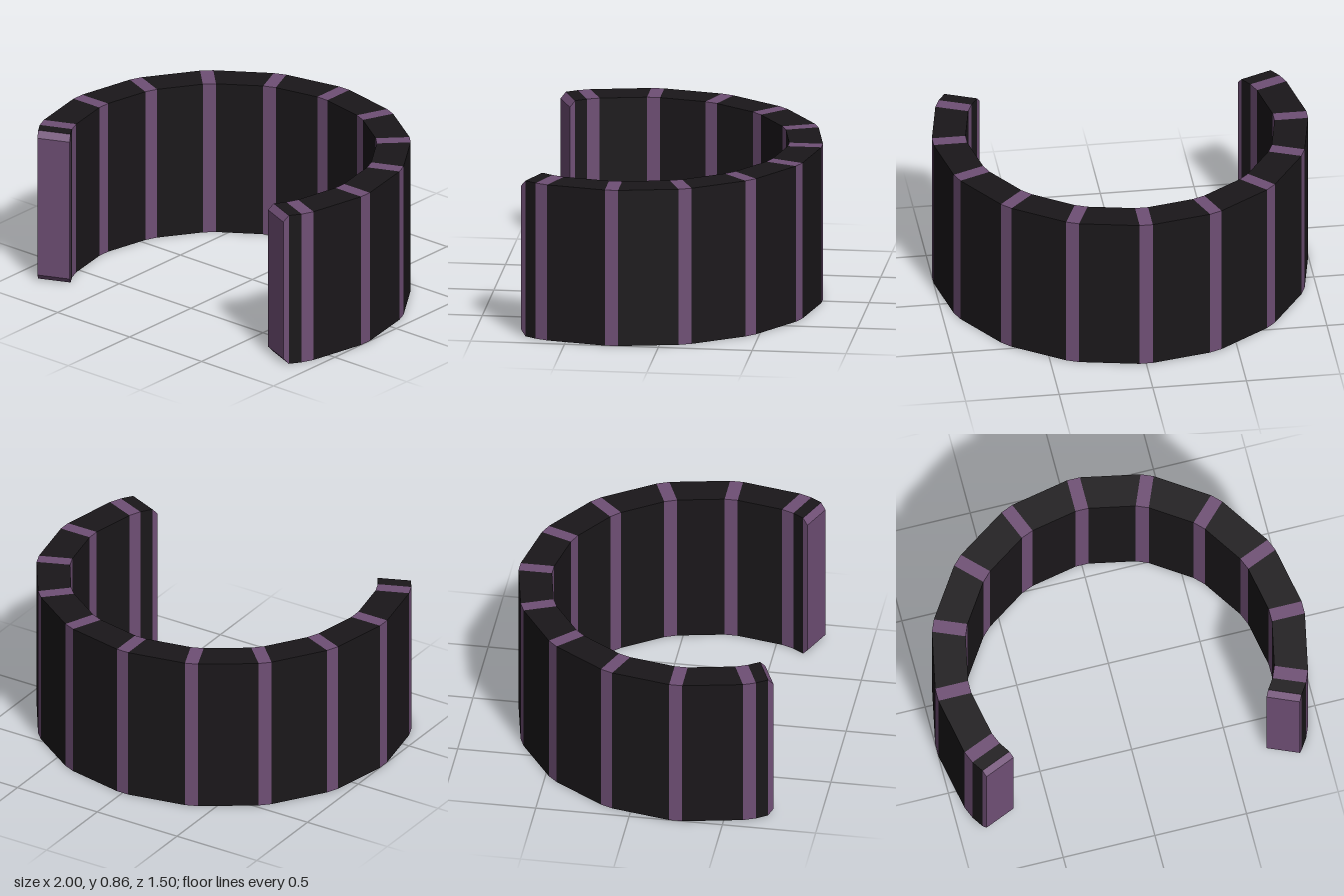
import * as THREE from 'three';

const HEIGHT = 0.855, CENTER_Z = 0.25, OUTER = 1, INNER = 0.82, HALF_STRIP = 0.035, BEVEL = 0.033;
const dark = new THREE.MeshStandardMaterial({ color: 0x1a171a, flatShading: true });
const purple = new THREE.MeshStandardMaterial({ color: 0x6f4f75, flatShading: true });

// Rectangular cross-section of the band: outer low, outer high, inner high, inner low
function section([ox, oz], [ix, iz], inset = 0) {
  const lo = inset, hi = HEIGHT - inset;
  return [[ox, lo, oz], [ox, hi, oz], [ix, hi, iz], [ix, lo, iz]];
}

// Section on the edge of a strip: radial line at the angle, shifted sideways
function stripSection(angle, shift) {
  const c = Math.cos(angle), s = Math.sin(angle);
  const at = (r) => [r * c - shift * s, CENTER_Z - r * s - shift * c];
  return section(at(OUTER), at(INNER));
}

// Mirrored section, keeping the corner order
const mirror = (sec) => sec.map(([x, y, z]) => [-x, y, z]);

// Skin between two sections, optionally closed at the first or last one
function skin(a, b, closeStart, closeEnd) {
  const quads = [];
  for (let k = 0; k < 4; k++) {
    const n = (k + 1) % 4;
    quads.push([a[k], b[k], b[n], a[n]]);
  }
  if (closeStart) quads.push(a);
  if (closeEnd) quads.push([...b].reverse());
  const pos = quads.flatMap(([p, q, r, s]) => [p, q, r, p, r, s].flat());
  const geo = new THREE.BufferGeometry();
  geo.setAttribute('position', new THREE.Float32BufferAttribute(pos, 3));
  geo.computeVertexNormals();
  return geo;
}

export function createModel() {
  const group = new THREE.Group();
  group.name = 'openCuff';

  // Bevelled tip of the band and the section where its bevel begins
  const tip = section([0.855, 0.75], [0.69, 0.68], BEVEL);
  const tipBase = section([0.871, 0.724], [0.706, 0.654]);

  // Sections from the left tip, around the back, to the right tip
  const sections = [tip, tipBase];
  for (let i = -1; i <= 9; i++) {
    const angle = (i * Math.PI) / 8;
    sections.push(stripSection(angle, -HALF_STRIP), stripSection(angle, HALF_STRIP));
  }
  sections.push(mirror(tipBase), mirror(tip));

  // Purple tips and strips alternate with dark panels
  const last = sections.length - 2;
  for (let i = 0; i <= last; i++) {
    const isPurple = i % 2 === 0;
    const geo = skin(sections[i], sections[i + 1], i === 0, i === last);
    const mesh = new THREE.Mesh(geo, isPurple ? purple : dark);
    mesh.name = i === 0 ? 'leftTip' : i === last ? 'rightTip' : isPurple ? `strip${i / 2}` : `panel${(i + 1) / 2}`;
    group.add(mesh);
  }
  return group;
}
